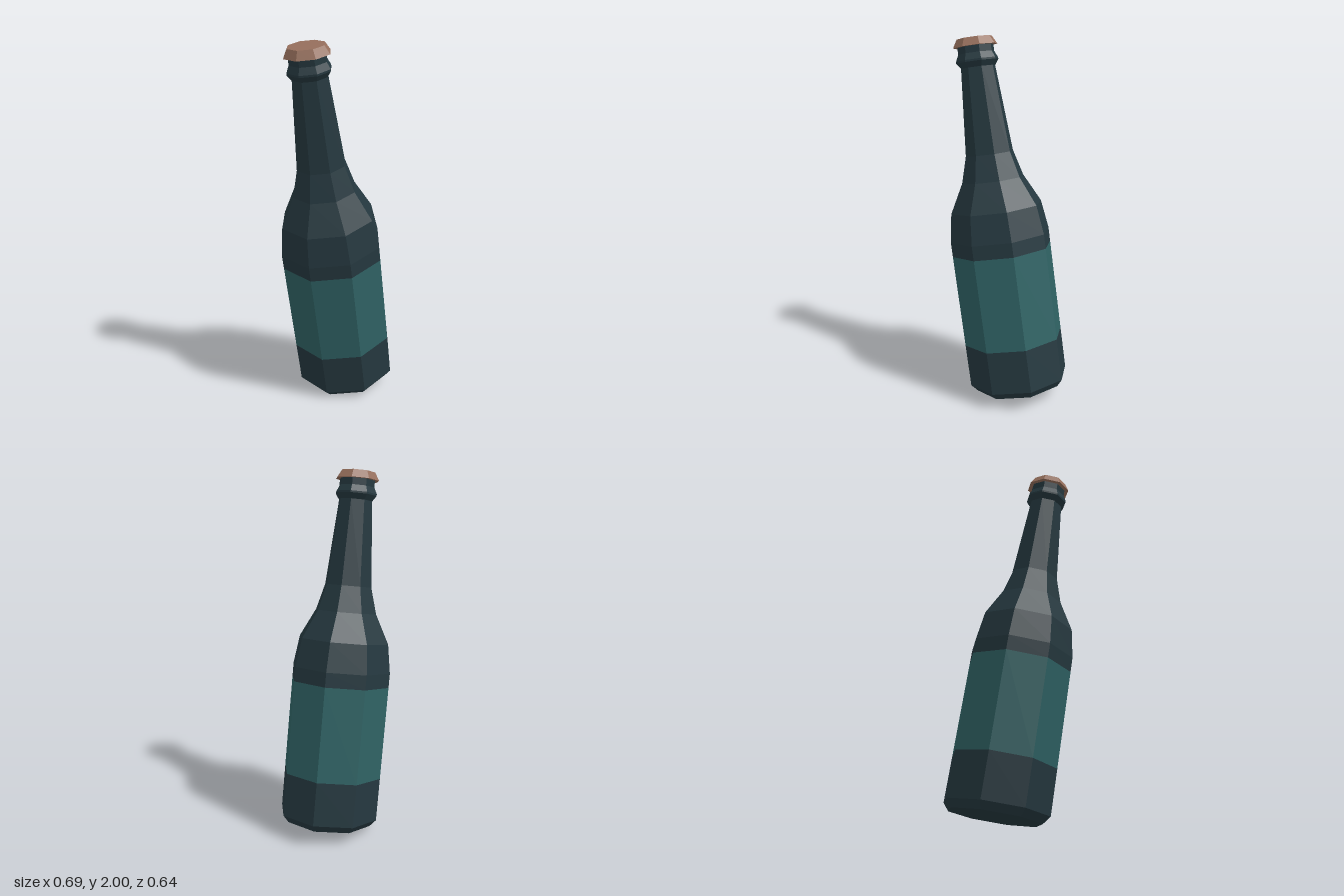
import * as THREE from 'three';

const SIDES = 8;

const flat = (name, color) => {
  const m = new THREE.MeshStandardMaterial({ color, flatShading: true });
  m.name = name;
  return m;
};

// Eight-sided turned part from [radius, height] pairs, listed bottom to top
function turned(name, profile, material) {
  const points = profile.map(([r, y]) => new THREE.Vector2(r, y));
  const mesh = new THREE.Mesh(new THREE.LatheGeometry(points, SIDES), material);
  mesh.name = name;
  return mesh;
}

export function createModel() {
  const glass = flat('dark glass', 0x25383f);
  const paper = flat('teal label', 0x2f6264);
  const metal = flat('copper cap', 0x966f5c);

  const bottle = new THREE.Group();
  bottle.name = 'bottle';

  // Closed base with a chamfered foot
  bottle.add(turned('base', [[0, 0], [0.25, 0], [0.284, 0.04], [0.284, 0.28]], glass));

  // Label band, flush with the glass
  bottle.add(turned('label', [[0.284, 0.28], [0.284, 0.8]], paper));

  // Shoulder, tapering neck and lip ring
  bottle.add(turned('shoulderAndNeck', [
    [0.284, 0.8], [0.284, 0.88], [0.259, 1.04], [0.175, 1.2], [0.134, 1.345],
    [0.095, 1.815], [0.117, 1.845], [0.117, 1.855], [0.1, 1.89], [0.1, 1.935],
  ], glass));

  // Flared cap with a flat top
  bottle.add(turned('cap', [[0, 1.927], [0.123, 1.927], [0.098, 1.971], [0, 1.971]], metal));

  // Lean the whole bottle
  const axis = new THREE.Vector3(-0.151, 1, 0.096).normalize();
  bottle.quaternion.setFromUnitVectors(new THREE.Vector3(0, 1, 0), axis);
  bottle.position.set(0.065, 0.043, -0.043);

  const model = new THREE.Group();
  model.name = 'leaningBottle';
  model.add(bottle);
  return model;
}
